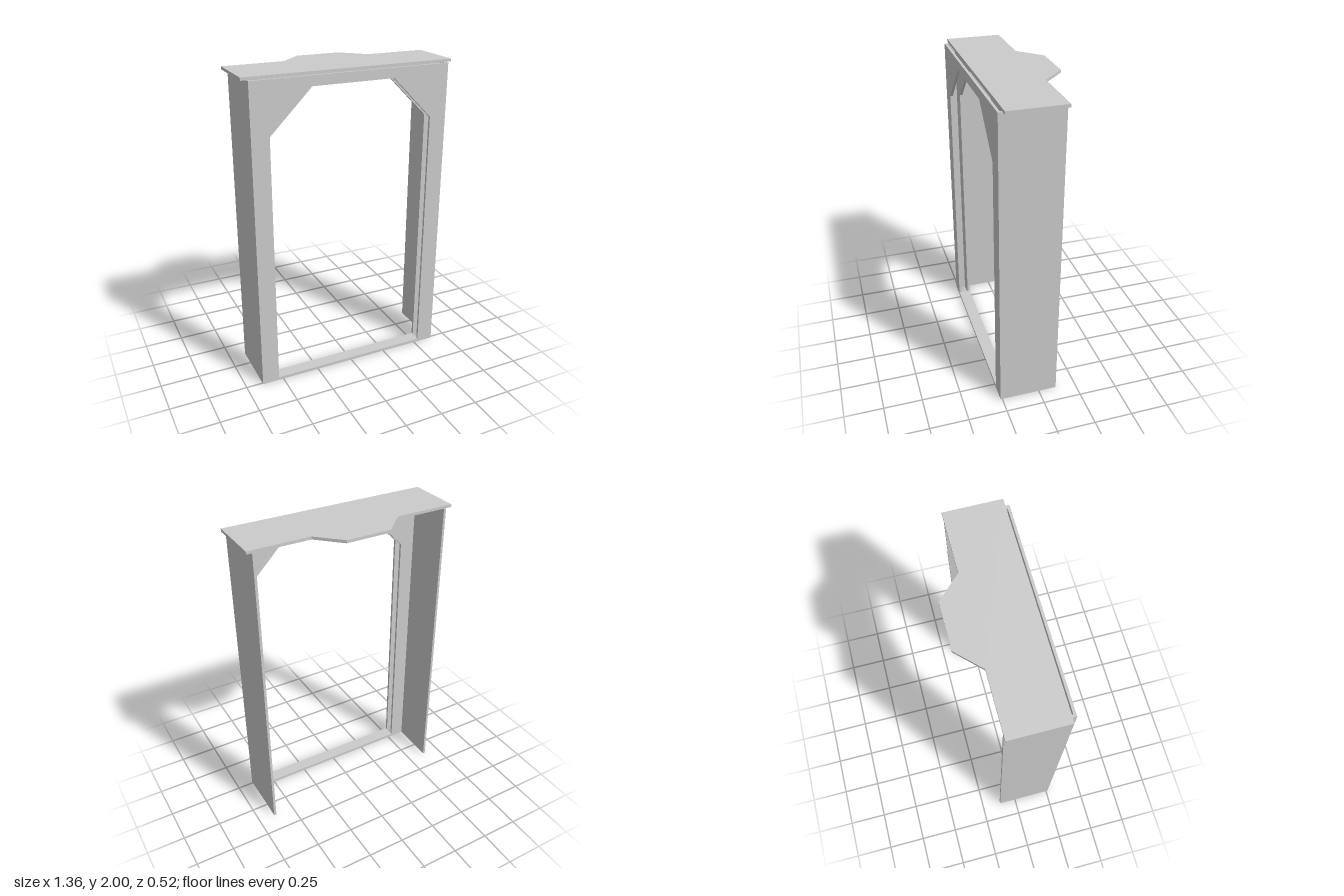
import * as THREE from 'three';

const H = 1.982;      // height under the top slab
const W = 0.642;      // half width of the frame
const T = 0.016;      // sheet thickness
const FRONT = 0.262, BACK = -0.118;

const material = new THREE.MeshStandardMaterial({ color: 0xcccccc, flatShading: true });

const toShape = pts => new THREE.Shape(pts.map(([x, y]) => new THREE.Vector2(x, y)));

// Mirror a half outline (x > 0) across x = 0
const mirrored = half => [...half, ...half.slice().reverse().map(([x, y]) => [-x, y])];

export function createModel() {
  const group = new THREE.Group();

  const add = (name, geometry, x = 0, y = 0, z = 0) => {
    const mesh = new THREE.Mesh(geometry, material);
    mesh.name = name;
    mesh.position.set(x, y, z);
    group.add(mesh);
    return mesh;
  };

  // Portal sheets: a front and a rear layer with a slot between them
  const outline = toShape([
    [W, 0], [W, H], [-W, H], [-W, 0],
    [-0.53, 0], [-0.53, 1.655], [-0.265, 1.92],
    [0.265, 1.92], [0.53, 1.655], [0.53, 0],
  ]);
  const layer = depth => new THREE.ExtrudeGeometry(outline, { depth, bevelEnabled: false });
  add('frontPanel', layer(T), 0, 0, FRONT - T);
  const inner = layer(T);
  inner.scale((W - T) / W, 1, 1);
  // keep the opening flush with the front layer
  const p = inner.attributes.position;
  for (let i = 0; i < p.count; i++) {
    const x = p.getX(i);
    if (Math.abs(x) < 0.6) p.setX(i, x * W / (W - T));
  }
  add('rearPanel', inner, 0, 0, 0.18);

  // Side walls
  const depth = FRONT - T - BACK;
  for (const [name, s] of [['leftWall', 1], ['rightWall', -1]]) {
    add(name, new THREE.BoxGeometry(T, H, depth), s * (W - T / 2), H / 2, BACK + depth / 2);
  }

  // Threshold across the bottom of the opening
  add('sill', new THREE.BoxGeometry(1.06, 0.02, FRONT - 0.18), 0, 0.01, (FRONT + 0.18) / 2);

  // Top slab with the tapered extension at the back (shape y becomes -z)
  const slab = new THREE.ExtrudeGeometry(
    toShape(mirrored([[0.678, -0.235], [0.678, 0.12], [0.287, 0.12], [0.145, 0.262]])),
    { depth: 2 - H, bevelEnabled: false });
  slab.rotateX(-Math.PI / 2);
  add('topSlab', slab, 0, H, 0);

  return group;
}
